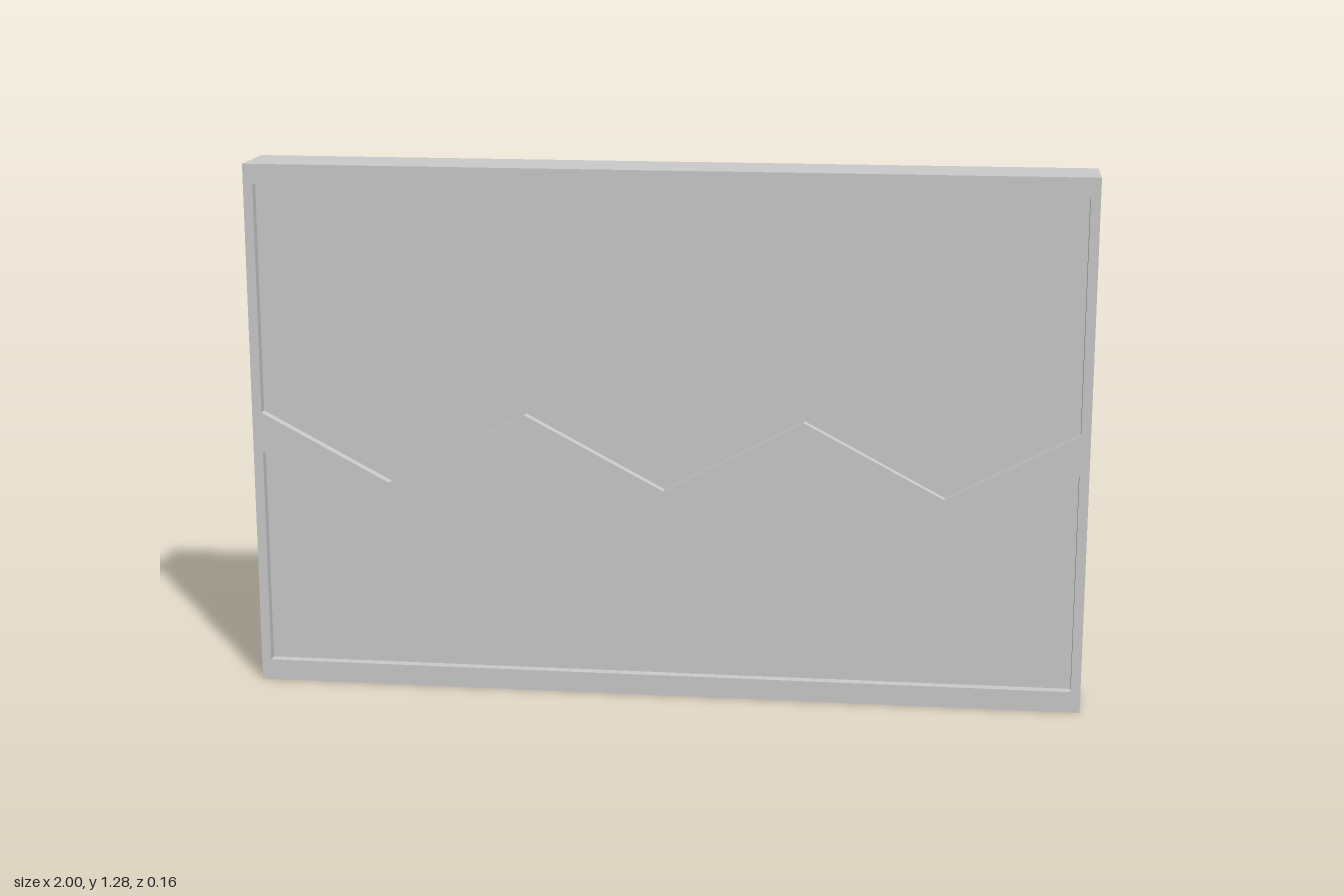
import * as THREE from 'three';

const WIDTH = 2, HEIGHT = 1.28, DEPTH = 0.162;
const RECESS = 0.024; // how far each panel sits below the frame faces
const INNER_X = 0.977, INNER_BOTTOM = 0.051, INNER_TOP = 1.233;

// Zigzag edge from left to right at a given valley height
const zigzag = (valley) => [
  [-INNER_X, valley + 0.165], [-2 / 3, valley], [-1 / 3, valley + 0.177], [0, valley],
  [1 / 3, valley + 0.177], [2 / 3, valley], [INNER_X, valley + 0.165],
].map(([x, y]) => new THREE.Vector2(x, y));

function extrudeCentred(shape, depth) {
  const geometry = new THREE.ExtrudeGeometry(shape, { depth, bevelEnabled: false });
  return geometry.translate(0, 0, -depth / 2);
}

export function createModel() {
  const group = new THREE.Group();
  group.name = 'zigzagPanel';
  const material = new THREE.MeshStandardMaterial({ color: 0xcccccc, flatShading: true });
  const add = (name, geometry) => {
    const mesh = new THREE.Mesh(geometry, material);
    mesh.name = name;
    group.add(mesh);
  };

  // Outlines of the two recessed fields, above and below the zigzag band
  const corner = (x, y) => new THREE.Vector2(x, y);
  const fields = {
    upperPanel: [...zigzag(0.513), corner(INNER_X, INNER_TOP), corner(-INNER_X, INNER_TOP)],
    lowerPanel: [corner(-INNER_X, INNER_BOTTOM), corner(INNER_X, INNER_BOTTOM), ...zigzag(0.416).reverse()],
  };

  // Outer frame and zigzag band in one piece, pierced by the two fields
  const frame = new THREE.Shape([
    corner(-WIDTH / 2, 0), corner(WIDTH / 2, 0),
    corner(WIDTH / 2, HEIGHT), corner(-WIDTH / 2, HEIGHT),
  ]);
  for (const outline of Object.values(fields)) frame.holes.push(new THREE.Path(outline));
  add('frame', extrudeCentred(frame, DEPTH));

  // Panels filling the fields, recessed on front and back
  for (const [name, outline] of Object.entries(fields)) {
    add(name, extrudeCentred(new THREE.Shape(outline), DEPTH - 2 * RECESS));
  }
  return group;
}
